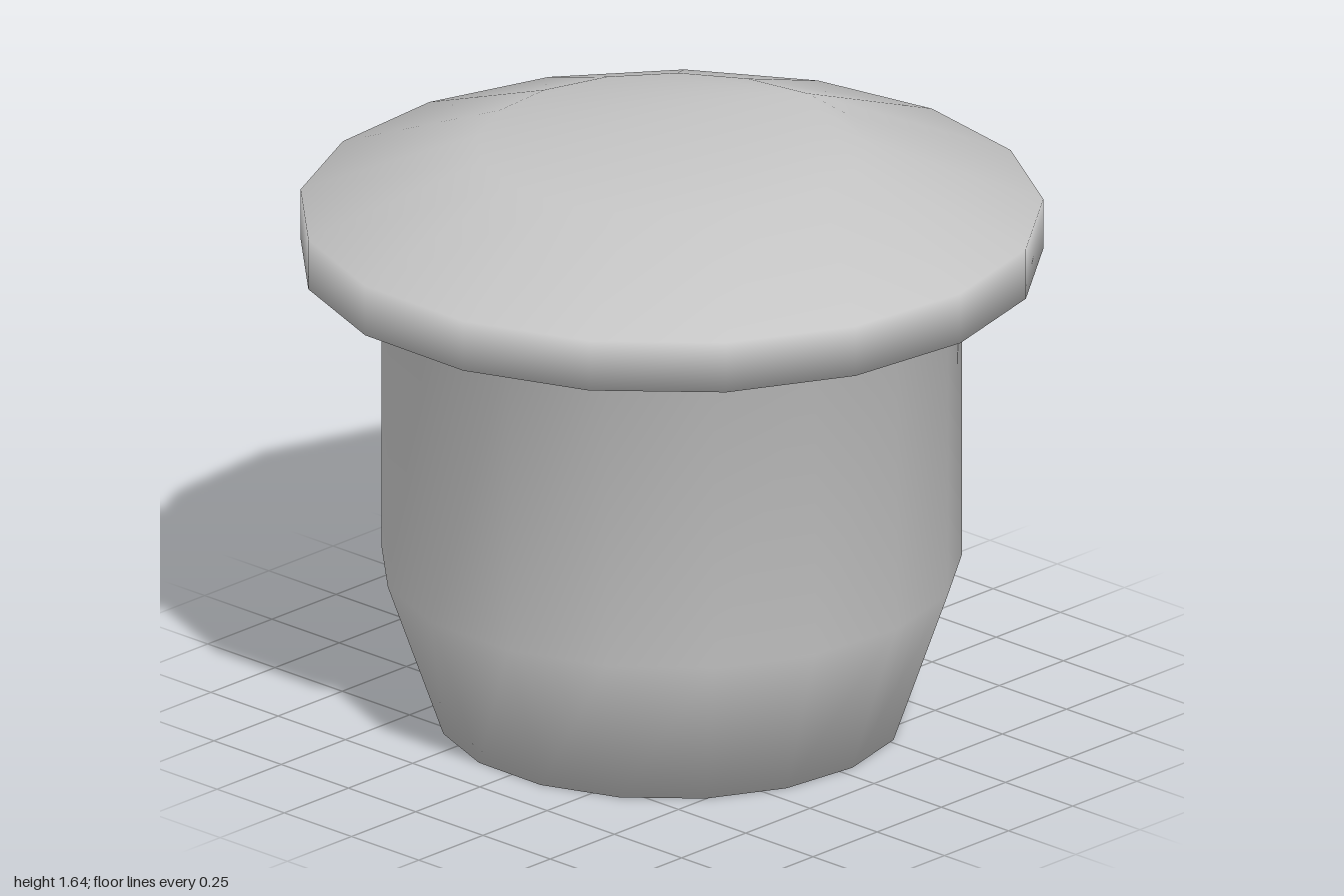
import * as THREE from 'three';

const SIDES = 17;
const TWIST = 0.013; // slight turn of the polygon about the vertical axis

// Closed, fully smooth-shaded turned solid: one ring per [radius, y], flat end caps.
function turnedSolid(profile) {
  const positions = [];
  const index = [];
  for (const [r, y] of profile) {
    for (let i = 0; i < SIDES; i++) {
      const a = (i / SIDES) * Math.PI * 2 + TWIST;
      positions.push(r * Math.sin(a), y, -r * Math.cos(a));
    }
  }
  for (let k = 0; k < profile.length - 1; k++) {
    for (let i = 0; i < SIDES; i++) {
      const j = (i + 1) % SIDES;
      const a = k * SIDES + i, b = k * SIDES + j;
      index.push(a, a + SIDES, b, b, a + SIDES, b + SIDES);
    }
  }
  const top = (profile.length - 1) * SIDES;
  for (let i = 1; i < SIDES - 1; i++) {
    index.push(0, i, i + 1); // underside
    index.push(top, top + i + 1, top + i); // top face
  }
  const geometry = new THREE.BufferGeometry();
  geometry.setAttribute('position', new THREE.Float32BufferAttribute(positions, 3));
  geometry.setIndex(index);
  geometry.computeVertexNormals();
  return geometry;
}

export function createModel() {
  const group = new THREE.Group();
  group.name = 'plug';
  const grey = new THREE.MeshStandardMaterial({ color: 0xc4c4c4 });
  grey.name = 'light grey';

  // Tapered shank running into a wide flange with a bevelled crown
  const plug = new THREE.Mesh(turnedSolid([
    [0.63, 0],
    [0.784, 0.44],
    [0.784, 1.322],
    [1.004, 1.322],
    [1.004, 1.465],
    [0.525, 1.645],
  ]), grey);
  plug.name = 'shankAndHead';
  plug.position.z = 0.006;
  group.add(plug);
  return group;
}
